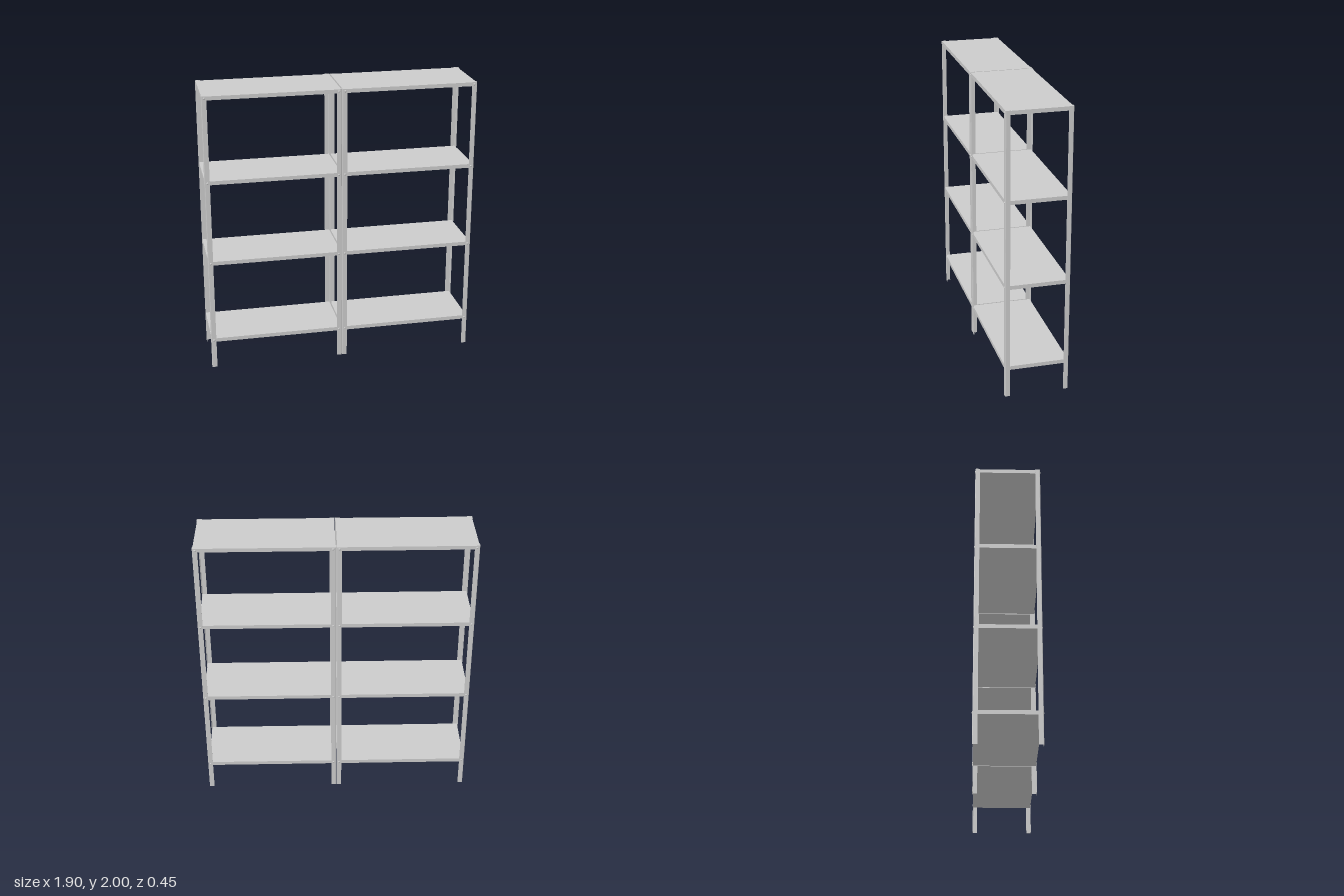
import * as THREE from 'three';

const mat = new THREE.MeshStandardMaterial({ color: 0xcccccc });

const X0 = 0.002, X1 = 0.948;   // bay extents along x
const ZP = 0.2205;              // outer face of posts
const T = 0.003;                // post sheet thickness
const FX = 0.035, FZ = 0.033;   // post flange widths
const R = 0.005;                // outer bend radius of posts
const HEIGHT = 2;
const SHELF_TOPS = [0.225, 0.816, 1.407, 1.998];
const SHELF_DEPTH = 0.027;

function mesh(geometry, name, parent) {
  const m = new THREE.Mesh(geometry, mat);
  m.name = name;
  parent.add(m);
  return m;
}

// L-section upright with a rounded bend; sx and sz point from the outer corner into the bay
function anglePost(x, z, sx, sz) {
  const p = (a, b) => [x + sx * a, -(z + sz * b)];
  const s = new THREE.Shape();
  s.moveTo(...p(R, 0));
  s.lineTo(...p(FX, 0));
  s.lineTo(...p(FX, T));
  s.lineTo(...p(R, T));
  s.quadraticCurveTo(...p(T, T), ...p(T, R));
  s.lineTo(...p(T, FZ));
  s.lineTo(...p(0, FZ));
  s.lineTo(...p(0, R));
  s.quadraticCurveTo(...p(0, 0), ...p(R, 0));
  const geo = new THREE.ExtrudeGeometry(s, { depth: HEIGHT, bevelEnabled: false, curveSegments: 4 });
  return geo.rotateX(-Math.PI / 2);
}

// Shallow domed bolt head, axis along +z
const boltProfile = [[0.008, 0], [0.007, 0.002], [0.004, 0.0032], [0, 0.0037]]
  .map(([r, h]) => new THREE.Vector2(r, h));
const boltGeo = new THREE.LatheGeometry(boltProfile, 16).rotateX(Math.PI / 2);

// Closed shelf slab filling the space inside the posts
const shelfGeo = new THREE.BoxGeometry(X1 - X0 - 2 * T, SHELF_DEPTH, 2 * (ZP - T));

function bay(name) {
  const g = new THREE.Group();
  g.name = name;
  for (const top of SHELF_TOPS) {
    mesh(shelfGeo, 'shelf', g).position.set((X0 + X1) / 2, top - SHELF_DEPTH / 2, 0);
  }
  for (const [x, sx] of [[X0, 1], [X1, -1]]) {
    for (const side of [1, -1]) {
      mesh(anglePost(x, side * ZP, sx, -side), 'post', g);
      // one bolt per shelf through each post
      for (const top of SHELF_TOPS) {
        const bolt = mesh(boltGeo, 'bolt', g);
        bolt.position.set(x + sx * 0.019, top - SHELF_DEPTH / 2, side * ZP);
        if (side < 0) bolt.rotation.y = Math.PI;
      }
    }
  }
  return g;
}

export function createModel() {
  const model = new THREE.Group();
  model.name = 'shelvingUnit';
  const left = bay('leftBay');
  const right = bay('rightBay');
  right.rotation.y = Math.PI; // each bay is symmetric front to back
  model.add(left, right);
  return model;
}
